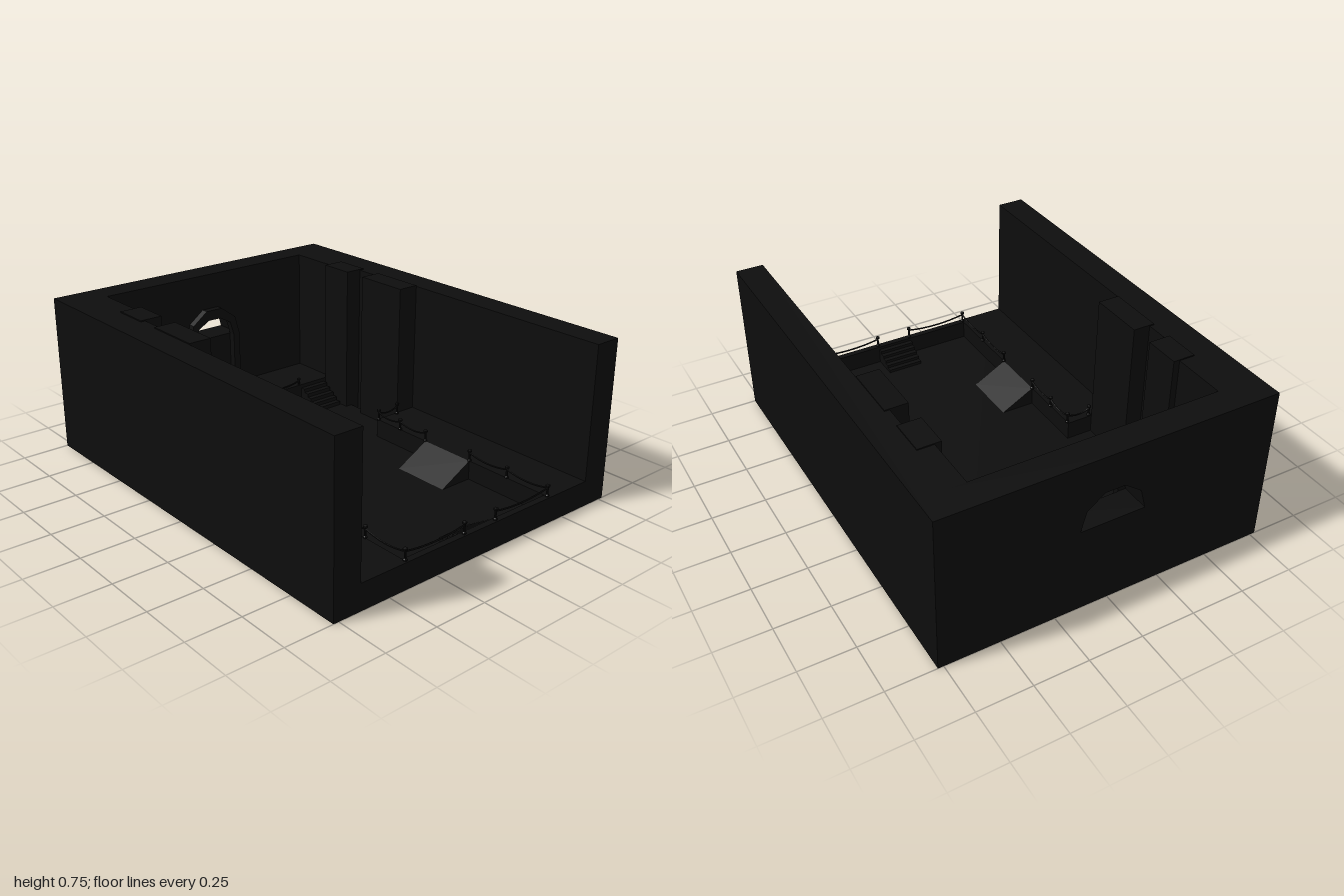
import * as THREE from 'three';

export function createModel() {
  const model = new THREE.Group();
  const mat = new THREE.MeshStandardMaterial({ color: 0x0d0d0d, flatShading: true, side: THREE.DoubleSide });

  const add = (name, geo) => {
    const m = new THREE.Mesh(geo, mat);
    m.name = name;
    model.add(m);
    return m;
  };
  // Box given by its limits on each axis
  const box = (name, x0, x1, y0, y1, z0, z1) => {
    const g = new THREE.BoxGeometry(x1 - x0, y1 - y0, z1 - z0);
    g.translate((x0 + x1) / 2, (y0 + y1) / 2, (z0 + z1) / 2);
    return add(name, g);
  };
  // The same box on both sides of the hall
  const pair = (name, x0, x1, ...r) => {
    box(name + 'Left', x0, x1, ...r);
    box(name + 'Right', -x1, -x0, ...r);
  };
  const extrude = (name, shape, depth, z) => {
    const g = new THREE.ExtrudeGeometry(shape, { depth, bevelEnabled: false, curveSegments: 5 });
    g.translate(0, 0, z);
    return add(name, g);
  };
  // Closed outline from the right half, mirrored in x
  const mirrored = (half) => half.concat(half.slice().reverse().map(([x, y]) => [-x, y]))
    .map(([x, y]) => new THREE.Vector2(x, y));

  const H = 0.745, PIT = 0.03, SIDE = 0.12, BACK = 0.14;
  const outerArch = [[0.15, 0], [0.15, 0.415], [0.125, 0.51], [0.045, 0.57]];
  const innerArch = [[0.115, BACK], [0.115, 0.415], [0.095, 0.485], [0.035, 0.52]];

  // Outer walls and sunken floor
  pair('sideWall', 0.645, 0.775, 0, H, -1, 1);
  extrude('backWall', new THREE.Shape(mirrored([[0.15, 0], [0.645, 0], [0.645, H], [0.045, H],
    [0.045, 0.57], [0.125, 0.51], [0.15, 0.415]])), 0.13, -1);
  box('wallAboveArch', -0.045, 0.045, 0.57, H, -1, -0.87);
  box('sunkenFloor', -0.575, 0.575, 0, PIT, -0.87, 1);

  // Arched door frame
  const frame = new THREE.Shape(mirrored(outerArch));
  frame.holes.push(new THREE.Path(mirrored(innerArch)));
  extrude('doorFrame', frame, 0.035, -0.87);

  // Pillars, rear side walls and the narrow shafts between pillars
  pair('frontPillar', 0.54, 0.645, 0, 0.75, -0.34, -0.07);
  pair('rearPillar', 0.54, 0.645, 0, 0.75, -0.62, -0.45);
  pair('rearSideWall', 0.57, 0.645, 0, H, -0.87, -0.62);
  pair('shaftWall', 0.622, 0.645, 0, H, -0.45, -0.34);

  // Raised side walks, front sill and rear platform
  pair('sideWalk', 0.41, 0.645, 0, SIDE, -0.07, 1);
  box('frontSill', -0.41, 0.41, 0, SIDE, 0.97, 1);
  box('rearPlatform', -0.57, 0.57, 0, BACK, -0.87, -0.62);

  // Pier with rounded corners reaching out from the rear platform
  const r = 0.04, px = 0.115, pz = 0.235;
  const pier = new THREE.Shape();
  pier.moveTo(-px, 0.62).lineTo(-px, pz + r).quadraticCurveTo(-px, pz, -px + r, pz);
  pier.lineTo(px - r, pz).quadraticCurveTo(px, pz, px, pz + r).lineTo(px, 0.62);
  const pierGeo = new THREE.ExtrudeGeometry(pier, { depth: BACK, bevelEnabled: false, curveSegments: 5 });
  pierGeo.rotateX(-Math.PI / 2);
  add('pier', pierGeo);

  // Stairs from the rear platform, and front entrance steps
  const steps = 5;
  for (let i = 0; i < steps; i++) {
    const f = 1 - (i + 1) / (steps + 1);
    const zr = -0.62 + i * 0.026;
    pair('rearStep', 0.38, 0.53, 0, PIT + (BACK - PIT) * f, zr, zr + 0.026);
    const zf = 0.97 - i * 0.024;
    box('entranceStep', -0.09, 0.09, 0, PIT + (SIDE - PIT) * f, zf - 0.024, zf);
  }

  // Side ramps down to the sunken floor
  for (const s of [1, -1]) {
    const ramp = new THREE.Shape([[0.41, 0.01], [0.41, SIDE], [0.245, PIT], [0.245, 0.01]]
      .map(([x, y]) => new THREE.Vector2(s * x, y)));
    extrude('sideRamp', ramp, 0.28, 0.26);
  }

  // Railing posts with small caps, joined by slightly sagging ropes
  const profile = [[0.0, 0], [0.009, 0], [0.009, 0.006], [0.005, 0.01], [0.005, 0.043],
    [0.01, 0.046], [0.01, 0.054], [0, 0.057]].map(([x, y]) => new THREE.Vector2(x, y));
  const postGeo = new THREE.LatheGeometry(profile, 8);
  const railing = (pts, y) => {
    for (const s of [1, -1]) {
      pts.forEach(([x, z], i) => {
        add('railPost', postGeo).position.set(s * x, y, z);
        if (!i) return;
        const a = new THREE.Vector3(s * pts[i - 1][0], y + 0.04, pts[i - 1][1]);
        const b = new THREE.Vector3(s * x, y + 0.04, z);
        const mid = a.clone().lerp(b, 0.5).setY(y + 0.01);
        add('rope', new THREE.TubeGeometry(new THREE.QuadraticBezierCurve3(a, mid, b), 8, 0.004, 5));
      });
    }
  };
  railing([[0.09, 0.985], [0.41, 0.985], [0.41, 0.76], [0.41, 0.54]], SIDE);
  railing([[0.41, 0.26], [0.41, 0.09], [0.41, -0.06], [0.53, -0.06]], SIDE);
  railing([[0.37, -0.63], [0.11, -0.63]], BACK - 0.02);

  return model;
}
